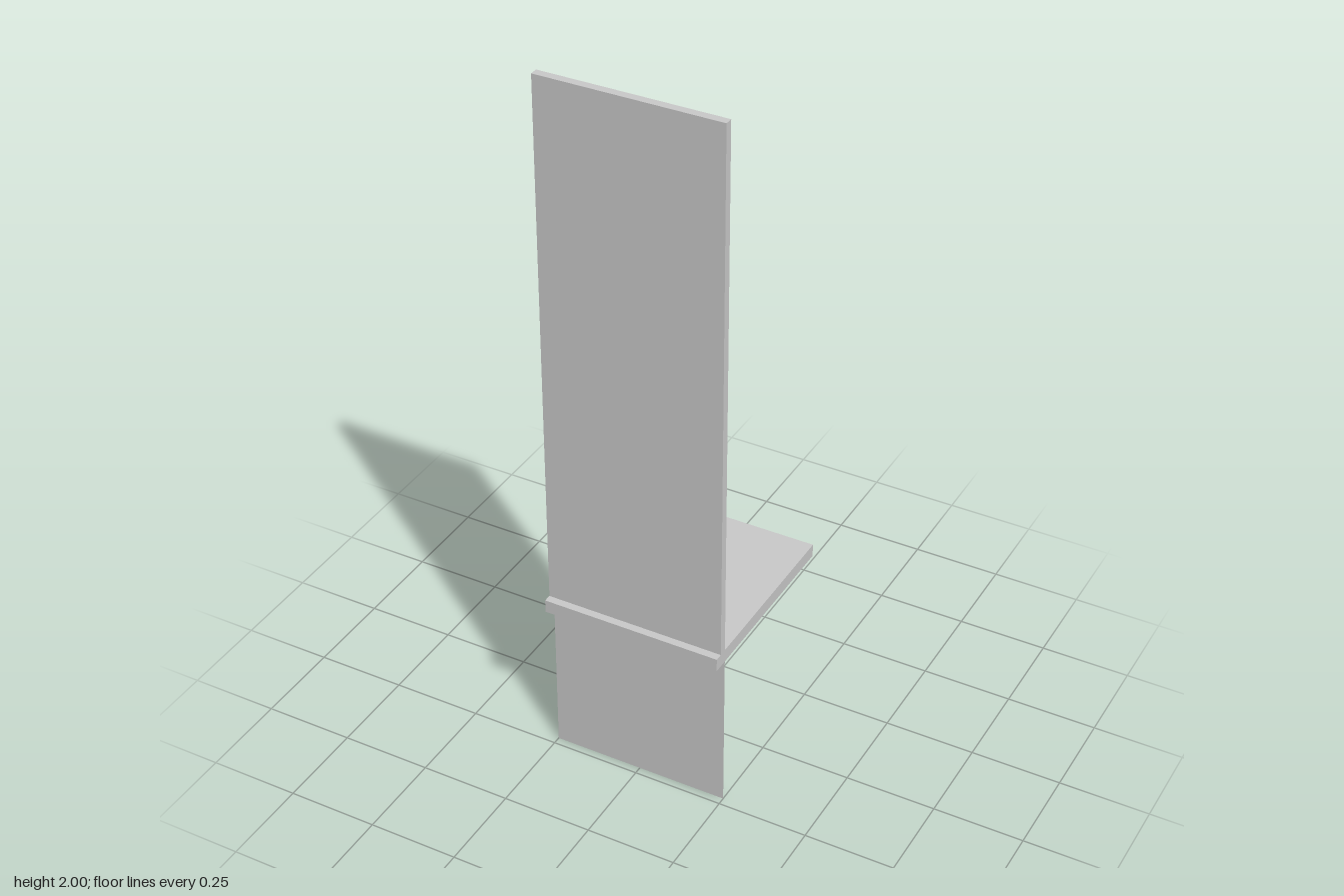
import * as THREE from 'three';

const material = new THREE.MeshStandardMaterial({
  color: 0xcccccc, flatShading: true, side: THREE.DoubleSide,
});

const WIDTH = 0.5;
const DEPTH = 0.543;      // overall depth of the shelf
const TOP = 0.5;          // upper surface of the shelf
const THICK = 0.037;      // height of the shelf rim
const PANEL_Z = 0.228;    // rear face of the upright panel

export function createModel() {
  const model = new THREE.Group();
  model.name = 'panelWithShelf';

  const add = (name, geometry, x, y, z) => {
    const mesh = new THREE.Mesh(geometry, material);
    mesh.name = name;
    mesh.position.set(x, y, z);
    model.add(mesh);
    return mesh;
  };

  // Tall upright panel standing on the shelf
  const panelDepth = 0.022;
  add('uprightPanel', new THREE.BoxGeometry(WIDTH, 2 - TOP, panelDepth),
    0, (2 + TOP) / 2, PANEL_Z + panelDepth / 2);

  // Thin sheet carrying the shelf down to the ground
  add('lowerSheet', new THREE.PlaneGeometry(WIDTH, TOP), 0, TOP / 2, PANEL_Z);

  // Closed lip in front of the sheet
  const lipDepth = DEPTH / 2 - PANEL_Z;
  const rimY = TOP - THICK / 2;
  add('frontLip', new THREE.BoxGeometry(WIDTH, THICK, lipDepth),
    0, rimY, PANEL_Z + lipDepth / 2);

  // Shelf behind the sheet: a top with thin rims, open underneath
  const shelfDepth = DEPTH - lipDepth;
  const shelfZ = (PANEL_Z - DEPTH / 2) / 2;
  add('shelfTop', new THREE.PlaneGeometry(WIDTH, shelfDepth), 0, TOP, shelfZ)
    .rotation.x = -Math.PI / 2;
  add('backRim', new THREE.PlaneGeometry(WIDTH, THICK), 0, rimY, -DEPTH / 2)
    .rotation.y = Math.PI;
  for (const side of [-1, 1]) {
    add(side > 0 ? 'leftRim' : 'rightRim', new THREE.PlaneGeometry(shelfDepth, THICK),
      side * WIDTH / 2, rimY, shelfZ).rotation.y = side * Math.PI / 2;
  }

  return model;
}
